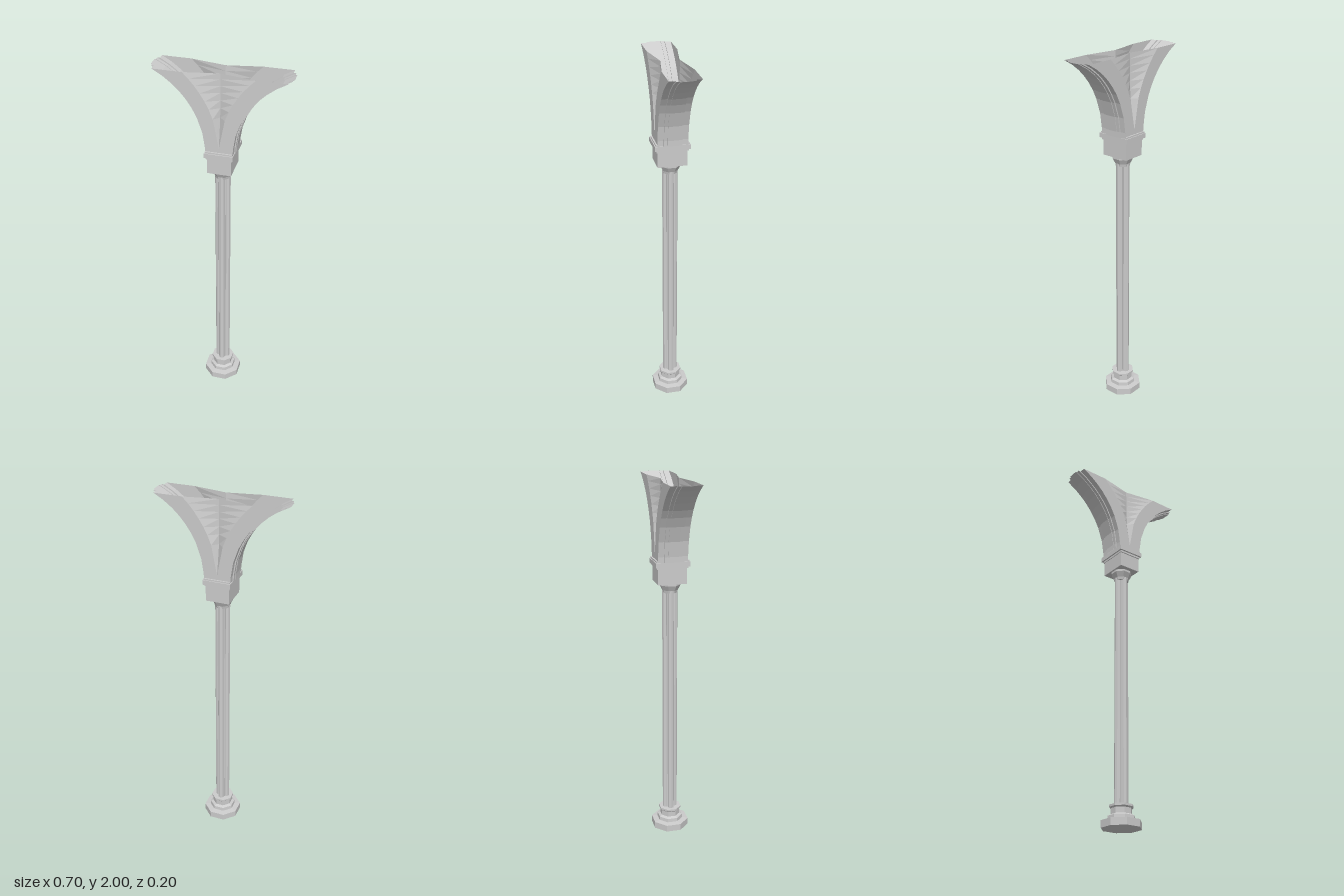
import * as THREE from 'three';

const mat = new THREE.MeshStandardMaterial({ color: 0xcccccc, flatShading: true, side: THREE.DoubleSide });

function add(group, name, geometry, x = 0, y = 0, z = 0) {
  const mesh = new THREE.Mesh(geometry, mat);
  mesh.name = name;
  mesh.position.set(x, y, z);
  group.add(mesh);
  return mesh;
}

// Octagonal turned part with flats facing the axes; profile = [distance to flat, y]
function octagon(profile) {
  const k = 1 / Math.cos(Math.PI / 8);
  return new THREE.LatheGeometry(profile.map(([r, y]) => new THREE.Vector2(r * k, y)), 8, Math.PI / 8);
}

function slab(group, name, halfX, halfZ, y0, y1) {
  add(group, name, new THREE.BoxGeometry(halfX * 2, y1 - y0, halfZ * 2), 0, (y0 + y1) / 2);
}

// Springing of two stepped arches with a creased web at front and back, open at the top
function springerGeometry() {
  // y, half-width of the web, depth of its centre crease
  const levels = [
    [1.58, 0, 0.08], [1.61, 0, 0.08], [1.69, 0.015, 0.065], [1.77, 0.03, 0.051],
    [1.82, 0.05, 0.05], [1.86, 0.07, 0.049], [1.9, 0.095, 0.048],
    [1.935, 0.12, 0.048], [1.97, 0.15, 0.048], [2, 0.18, 0.048],
  ];
  const arch = (r, y) => 0.54 - Math.sqrt(r * r - (y - 1.58) ** 2);
  const rows = levels.map(([y, web, crease]) => {
    const outer = arch(0.469, y), mid = arch(0.463, y), inner = arch(0.46, y);
    const quarter = [[web, 0.08], [outer, 0.08], [outer, 0.048], [mid, 0.048], [mid, 0.029], [inner, 0.029]];
    const right = [...quarter, ...quarter.map(([x, z]) => [x, -z]).reverse()];
    const left = right.map(([x, z]) => [-x, -z]);
    return [[0, crease], ...right, [0, -crease], ...left].map(([x, z]) => [x, y, z]);
  });
  const n = rows[0].length, index = [];
  for (let i = 0; i < rows.length - 1; i++) {
    for (let j = 0; j < n; j++) {
      const a = i * n + j, b = i * n + (j + 1) % n;
      index.push(a, b, b + n, a, b + n, a + n);
    }
  }
  const geometry = new THREE.BufferGeometry();
  geometry.setAttribute('position', new THREE.Float32BufferAttribute(rows.flat(2), 3));
  geometry.setIndex(index);
  geometry.computeVertexNormals();
  return geometry;
}

export function createModel() {
  const group = new THREE.Group();
  group.name = 'archColumn';

  // Octagonal foot and moulded plinth
  add(group, 'base', octagon([
    [0, 0], [0.098, 0], [0.098, 0.038], [0.068, 0.042], [0.066, 0.062],
    [0.052, 0.07], [0.052, 0.1], [0.059, 0.107], [0.059, 0.118], [0, 0.12],
  ]));

  // Clustered shaft: four round lobes about a core, in two drums
  const shaft = new THREE.Group();
  shaft.name = 'shaft';
  group.add(shaft);
  for (const [y0, y1] of [[0.115, 0.53], [0.53, 1.42]]) {
    const h = y1 - y0, y = (y0 + y1) / 2;
    add(shaft, 'shaftCore', new THREE.BoxGeometry(0.042, h, 0.042), 0, y, 0);
    for (let i = 0; i < 4; i++) {
      const a = i * Math.PI / 2;
      add(shaft, 'shaftLobe', new THREE.CylinderGeometry(0.018, 0.018, h, 8), 0.024 * Math.sin(a), y, 0.024 * Math.cos(a));
    }
  }

  // Flared capital
  add(group, 'capital', octagon([[0, 1.4], [0.037, 1.405], [0.04, 1.42], [0.054, 1.448], [0.054, 1.462], [0, 1.462]]));

  // Block and stepped impost
  slab(group, 'block', 0.063, 0.078, 1.46, 1.546);
  slab(group, 'impostFillet', 0.067, 0.084, 1.544, 1.556);
  slab(group, 'impost', 0.075, 0.093, 1.555, 1.58);
  slab(group, 'impostTop', 0.07, 0.088, 1.58, 1.588);

  add(group, 'archSpringer', springerGeometry());
  return group;
}
